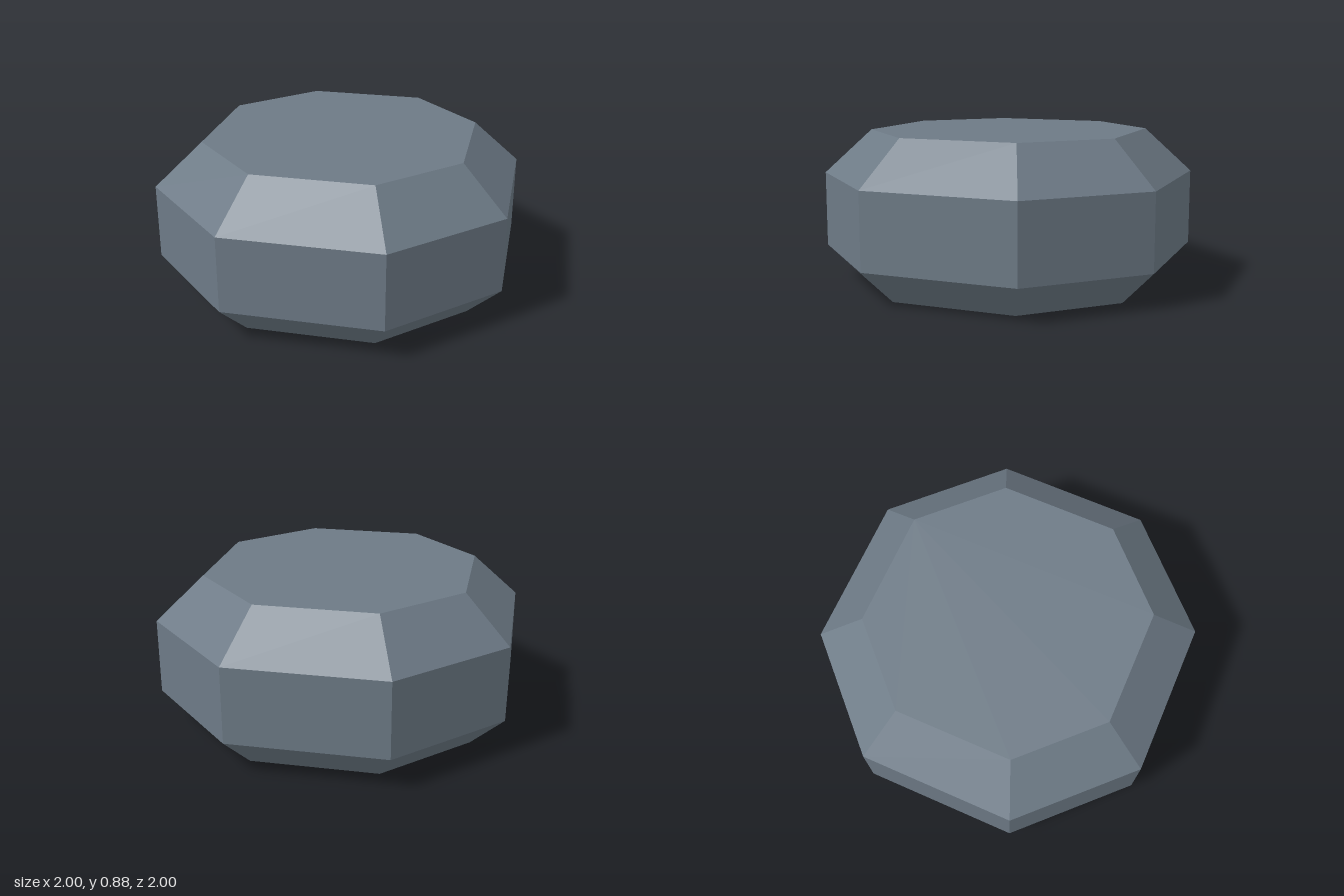
import * as THREE from 'three';

// Each section: height, half-width across the flats, half-length of a straight side
const SECTIONS = [
  [0, 0.81, 0.31],
  [0.195, 1, 0.383],
  [0.625, 1, 0.383],
  [0.875, 0.748, 0.28],
];

// Eight corners of a cut-cornered square, running from +x towards +z
const ring = ([y, w, s]) =>
  [[w, -s], [w, s], [s, w], [-s, w], [-w, s], [-w, -s], [-s, -w], [s, -w]]
    .map(([x, z]) => [x, y, z]);

// Joins the sections with flat bands and closes both ends
function facetedSolid(sections) {
  const n = 8;
  const positions = sections.flatMap(ring).flat();
  const index = [];
  for (let r = 0; r < sections.length - 1; r++) {
    for (let i = 0; i < n; i++) {
      const a = r * n + i;
      const b = r * n + (i + 1) % n;
      index.push(a, a + n, b, b, a + n, b + n);
    }
  }
  const top = (sections.length - 1) * n;
  for (let i = 1; i < n - 1; i++) {
    index.push(0, i, i + 1);
    index.push(top, top + i + 1, top + i);
  }
  const indexed = new THREE.BufferGeometry();
  indexed.setAttribute('position', new THREE.Float32BufferAttribute(positions, 3));
  indexed.setIndex(index);
  // Unshared corners keep every facet flat
  const geometry = indexed.toNonIndexed();
  geometry.computeVertexNormals();
  return geometry;
}

export function createModel() {
  const group = new THREE.Group();
  group.name = 'facetedStone';

  const slate = new THREE.MeshStandardMaterial({ color: 0x6d7a86 });
  slate.name = 'slate grey';

  // Stone body with bevelled top and base
  const body = new THREE.Mesh(facetedSolid(SECTIONS), slate);
  body.name = 'stoneBody';
  group.add(body);

  return group;
}
